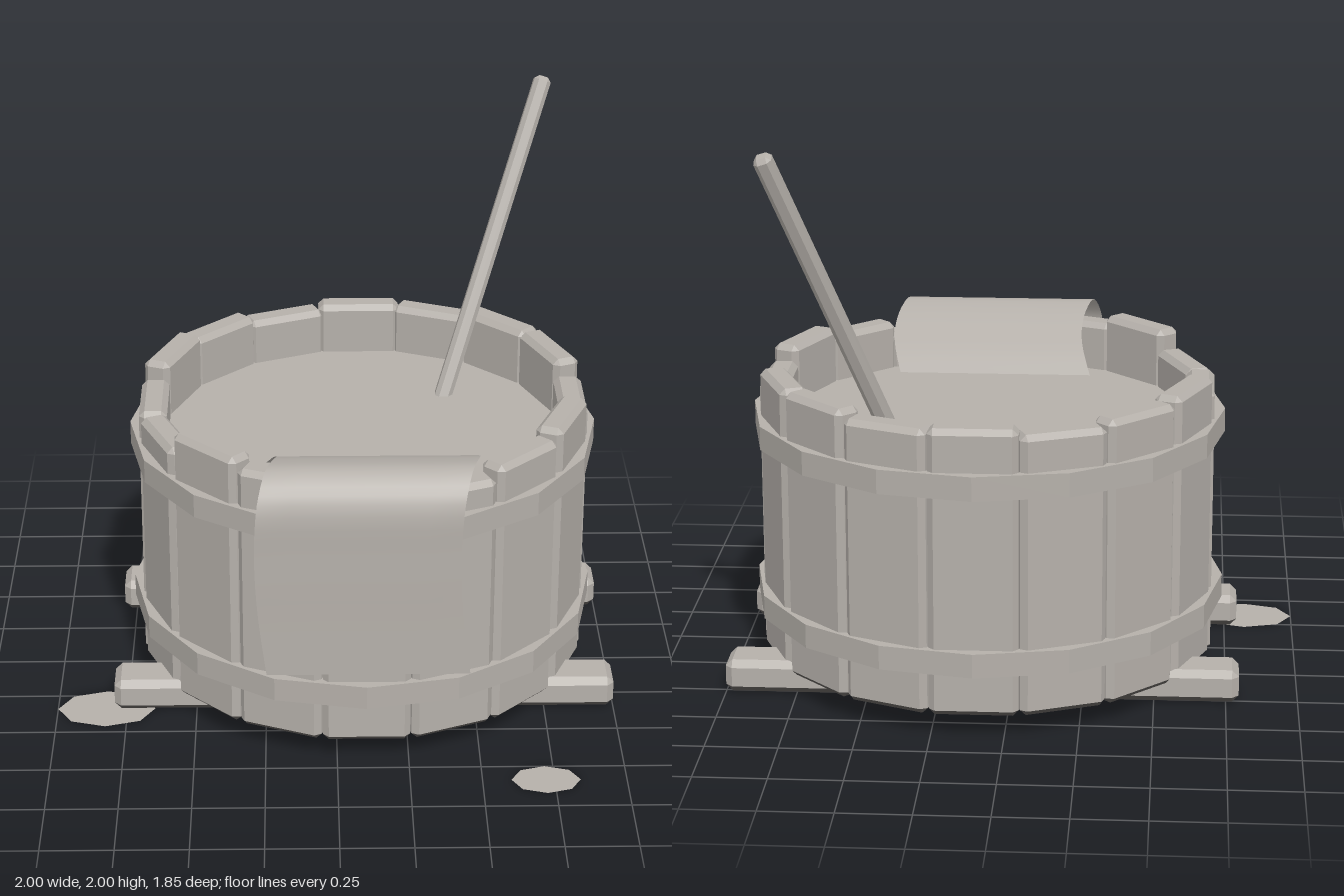
import * as THREE from 'three';
import { ConvexGeometry } from 'three/addons/geometries/ConvexGeometry.js';

// Box with every edge cut by a flat chamfer; the underside uses the second material
function chamferBox(w, h, d, c) {
  const [x, y, z] = [w / 2, h / 2, d / 2];
  const points = [];
  for (const sx of [-1, 1]) for (const sy of [-1, 1]) for (const sz of [-1, 1]) {
    points.push(
      new THREE.Vector3(sx * x, sy * (y - c), sz * (z - c)),
      new THREE.Vector3(sx * (x - c), sy * y, sz * (z - c)),
      new THREE.Vector3(sx * (x - c), sy * (y - c), sz * z));
  }
  const geometry = new ConvexGeometry(points);
  const normal = geometry.attributes.normal;
  for (let i = 0; i < normal.count; i += 3) {
    geometry.addGroup(i, 3, normal.getY(i) < -0.5 ? 1 : 0);
  }
  return geometry;
}

export function createModel() {
  const model = new THREE.Group();
  model.name = 'washTub';
  const grey = new THREE.MeshStandardMaterial({ color: 0xb5b0aa, flatShading: true });
  grey.name = 'warmGrey';
  const sheetGrey = new THREE.MeshStandardMaterial({ color: 0xb5b0aa, side: THREE.DoubleSide });
  sheetGrey.name = 'sheetGrey';
  const dark = new THREE.MeshStandardMaterial({ color: 0x605d5a, flatShading: true });
  dark.name = 'darkUnderside';
  const wood = [grey, dark];

  function add(parent, name, geometry, material, x = 0, y = 0, z = 0) {
    const mesh = new THREE.Mesh(geometry, material);
    mesh.name = name;
    mesh.position.set(x, y, z);
    parent.add(mesh);
    return mesh;
  }

  // Tub, centred on its own axis
  const tub = new THREE.Group();
  tub.name = 'tub';
  tub.position.set(0.102, 0, -0.089);
  model.add(tub);

  // Staves of uneven height, starting at +x and turning towards +z
  const tops = [1.05, 1.105, 1.075, 1.035, 1.09, 1.08, 1.112, 1.04,
    1.045, 1.108, 1.09, 1.07, 1.09, 1.085, 1.11, 1.11];
  const bottom = 0.08;
  tops.forEach((top, i) => {
    const a = (i / tops.length) * Math.PI * 2;
    const stave = add(tub, 'stave', chamferBox(0.1, top - bottom, 0.304, 0.02), wood,
      Math.cos(a) * 0.747, (top + bottom) / 2, Math.sin(a) * 0.747);
    stave.rotation.y = -a;
  });

  // Hoops: sixteen-sided bands
  for (const y of [0.235, 0.857]) {
    const ring = (r) => Array.from({ length: 16 }, (_, i) =>
      new THREE.Vector2(Math.cos(i * Math.PI / 8) * r, Math.sin(i * Math.PI / 8) * r));
    const shape = new THREE.Shape(ring(0.836));
    shape.holes.push(new THREE.Path(ring(0.78)));
    const geometry = new THREE.ExtrudeGeometry(shape, { depth: 0.085, bevelEnabled: false });
    geometry.rotateX(-Math.PI / 2);
    add(tub, 'hoop', geometry, grey, 0, y, 0);
  }

  // Water surface and dark floor
  add(tub, 'water', new THREE.CylinderGeometry(0.72, 0.72, 0.02, 32), grey, 0, 0.893, 0);
  add(tub, 'floor', new THREE.CylinderGeometry(0.72, 0.72, 0.03, 32), dark, 0, 0.12, 0);

  // Runners under the tub
  for (const z of [0.285, -0.46]) {
    add(model, 'runner', chamferBox(1.794, 0.117, 0.17, 0.024), wood, 0.102, 0.0645, z);
  }

  // Leaning stick
  const low = new THREE.Vector3(0.358, 0.75, -0.342);
  const high = new THREE.Vector3(0.782, 1.985, -0.836);
  const middle = low.clone().add(high).multiplyScalar(0.5);
  const stick = add(model, 'stick', chamferBox(0.062, low.distanceTo(high), 0.062, 0.015), wood,
    middle.x, middle.y, middle.z);
  stick.quaternion.setFromUnitVectors(new THREE.Vector3(0, 1, 0), high.clone().sub(low).normalize());

  // Cloth draped over the rim, swaying sideways along its length
  const drape = new THREE.CatmullRomCurve3([
    [0.95, 0.27], [1.015, 0.36], [1.065, 0.46], [1.112, 0.58], [1.125, 0.7],
    [1.04, 0.782], [0.85, 0.793], [0.62, 0.793], [0.4, 0.793],
  ].map(([y, z]) => new THREE.Vector3(0, y, z)));
  const cloth = new THREE.PlaneGeometry(0.695, 1, 6, 32);
  const pos = cloth.attributes.position;
  for (let i = 0; i < pos.count; i++) {
    const t = THREE.MathUtils.clamp(0.5 - pos.getY(i), 0, 1);
    const p = drape.getPoint(t);
    pos.setXYZ(i, pos.getX(i) + 0.105 + 0.038 * Math.sin(t * Math.PI * 2), p.y, p.z);
  }
  cloth.computeVertexNormals();
  add(model, 'cloth', cloth, sheetGrey);

  // Flat puddles on the ground
  for (const [x, z, rx, rz] of [[-0.825, 0.34, 0.175, 0.122], [0.72, 0.835, 0.12, 0.086]]) {
    const puddle = new THREE.CircleGeometry(1, 8).rotateX(-Math.PI / 2).scale(rx, 1, rz);
    add(model, 'puddle', puddle, sheetGrey, x, 0, z);
  }
  return model;
}
